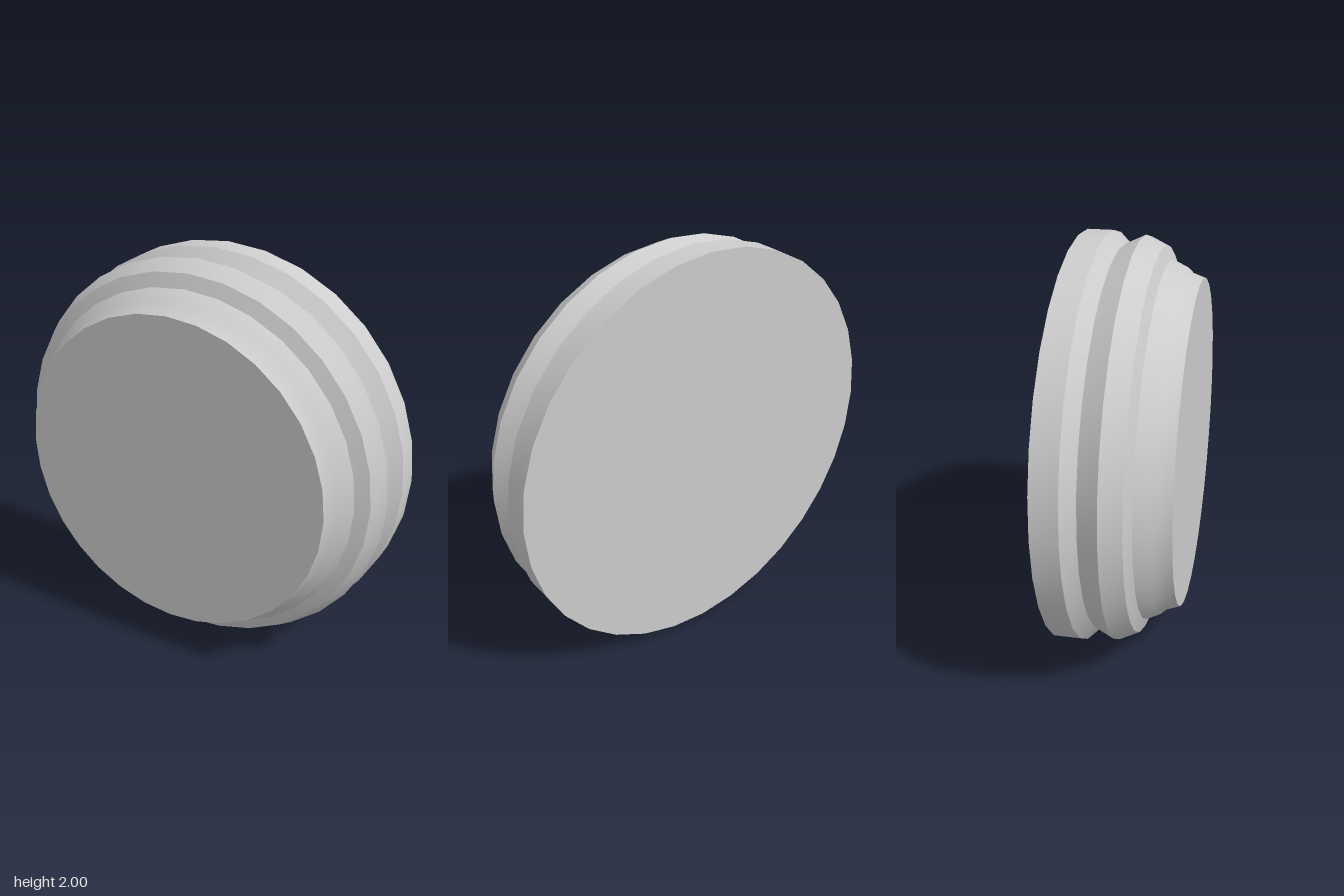
import * as THREE from 'three';
import { toCreasedNormals } from 'three/addons/utils/BufferGeometryUtils.js';

const SIDES = 32;

// Rim outline from back to front: [radius, z]
const PROFILE = [
  [1.0, -0.28],
  [1.0, -0.155],
  [0.94, -0.095],
  [0.985, 0],
  [0.94, 0.095],
  [0.875, 0.123],
  [0.845, 0.187],
  [0.82, 0.215],
  [0.797, 0.28],
];

export function createModel() {
  const group = new THREE.Group();
  group.name = 'steppedDisc';
  const grey = new THREE.MeshStandardMaterial({ color: 0xcccccc });
  grey.name = 'light grey';

  const add = (name, geometry) => {
    const mesh = new THREE.Mesh(geometry, grey);
    mesh.name = name;
    mesh.position.y = 1;
    group.add(mesh);
    return mesh;
  };

  // Moulded rim: smooth around, sharp at the steps
  const rim = new THREE.LatheGeometry(PROFILE.map(([r, z]) => new THREE.Vector2(r, z)), SIDES);
  rim.rotateX(Math.PI / 2);
  add('mouldedRim', toCreasedNormals(rim, Math.PI / 6));

  // Flat faces closing both ends
  const [backRadius, backZ] = PROFILE[0];
  const [frontRadius, frontZ] = PROFILE[PROFILE.length - 1];
  add('frontFace', new THREE.CircleGeometry(frontRadius, SIDES)).position.z = frontZ;
  const back = add('backFace', new THREE.CircleGeometry(backRadius, SIDES));
  back.position.z = backZ;
  back.rotation.y = Math.PI;

  return group;
}
